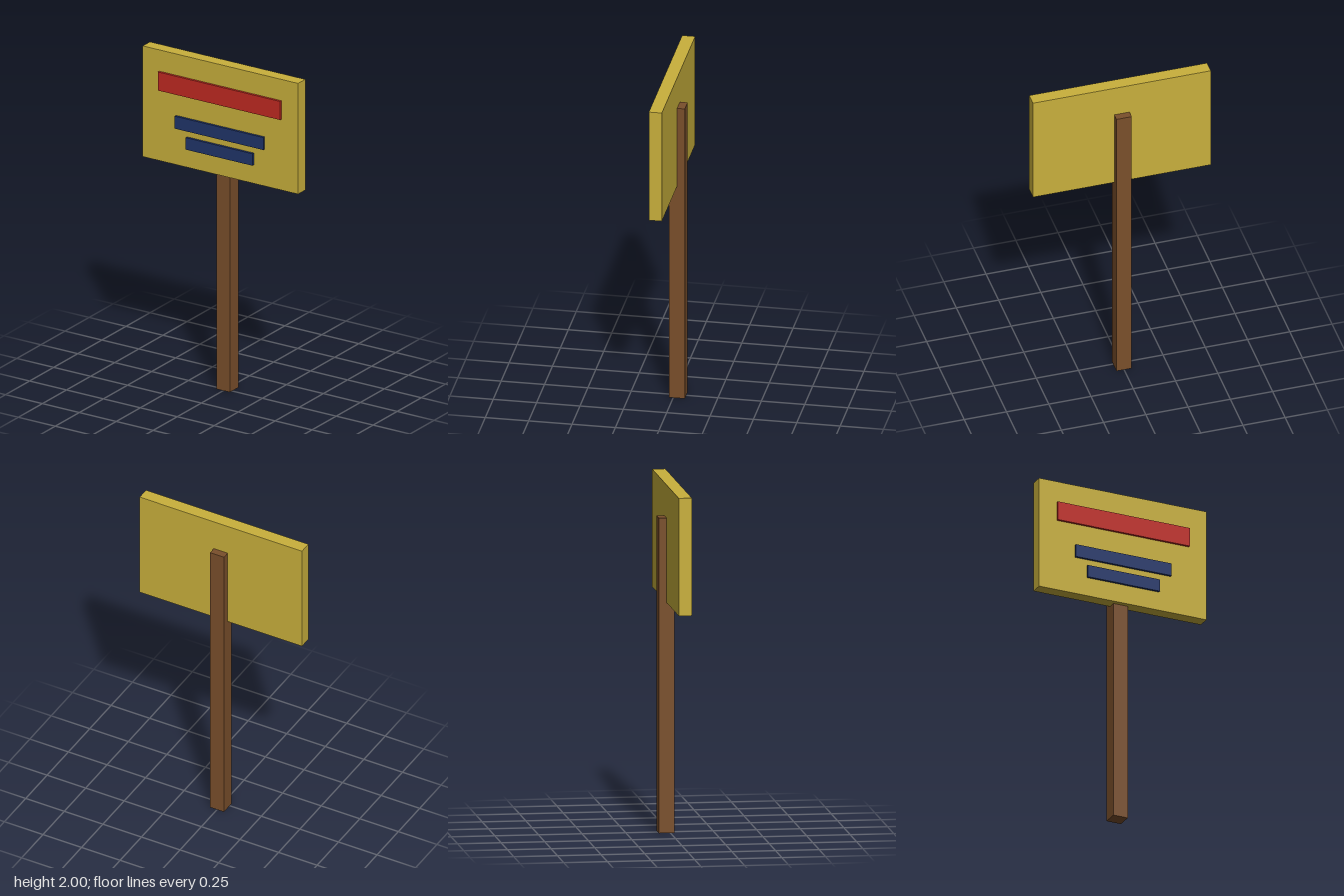
import * as THREE from 'three';

const paint = (name, color) => {
  const m = new THREE.MeshStandardMaterial({ color });
  m.name = name;
  return m;
};

export function createModel() {
  const wood = paint('brown wood', 0x7a4f2b);
  const yellow = paint('yellow board', 0xc9b03c);
  const red = paint('red stripe', 0xc22a22);
  const blue = paint('navy stripe', 0x20356b);

  const model = new THREE.Group();
  model.name = 'signpost';

  // Box centred on x, given by half width and its y and z ranges
  const addBox = (name, material, halfWidth, y0, y1, z0, z1) => {
    const mesh = new THREE.Mesh(new THREE.BoxGeometry(halfWidth * 2, y1 - y0, z1 - z0), material);
    mesh.position.set(0, (y0 + y1) / 2, (z0 + z1) / 2);
    mesh.name = name;
    model.add(mesh);
  };

  // Post runs up behind the board
  addBox('post', wood, 0.045, 0, 1.81, -0.067, 0.023);
  addBox('board', yellow, 0.526, 1.324, 2, -0.0225, 0.0525);

  // Raised stripes on the board's front
  addBox('headingStripe', red, 0.414, 1.757, 1.87, 0.05, 0.067);
  addBox('upperStripe', blue, 0.3, 1.549, 1.625, 0.05, 0.067);
  addBox('lowerStripe', blue, 0.226, 1.437, 1.51, 0.05, 0.067);

  return model;
}
